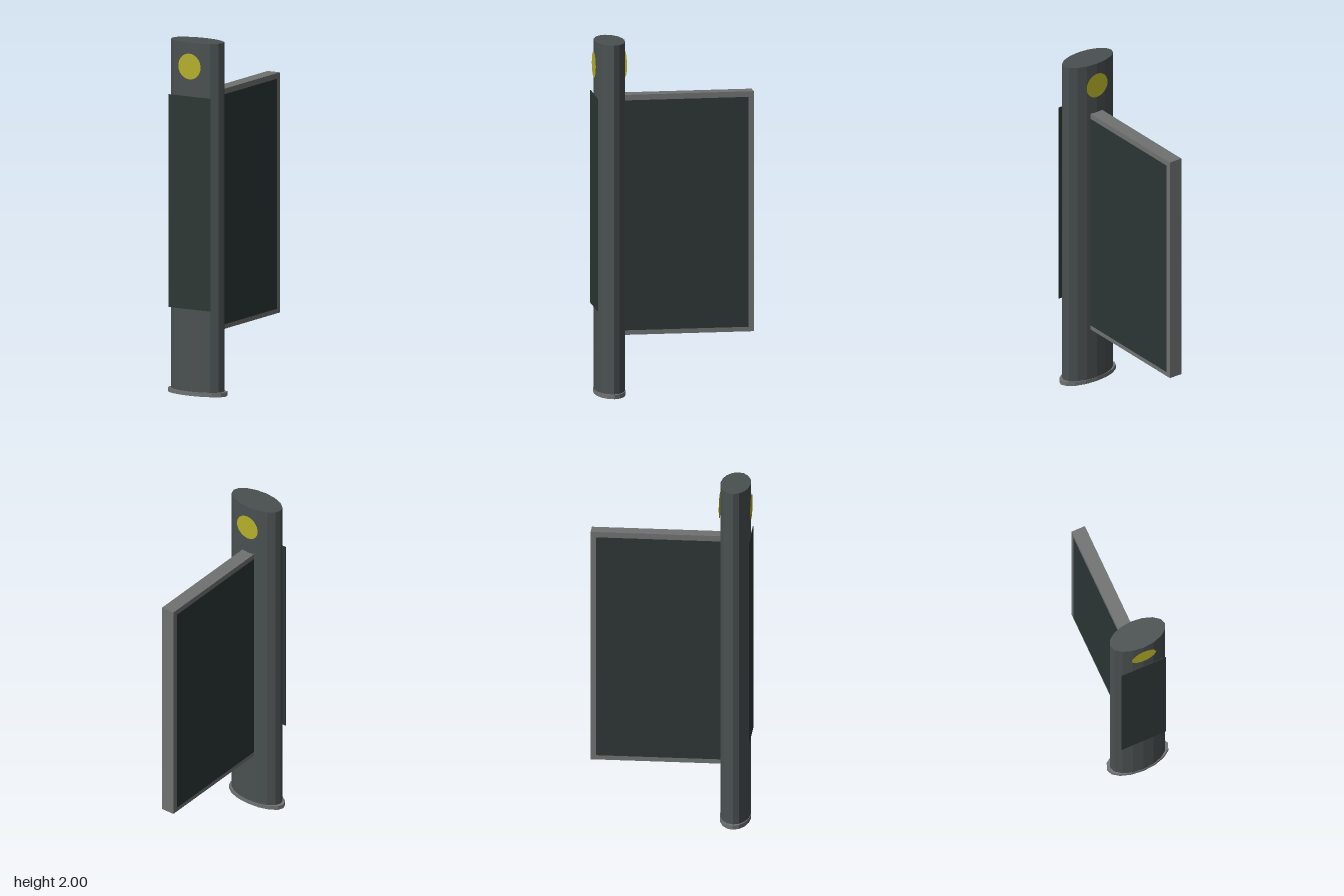
import * as THREE from 'three';

export function createModel() {
  const group = new THREE.Group();
  const mat = (color, extra = {}) => new THREE.MeshStandardMaterial({ color, ...extra });
  const columnMat = mat(0x4a5050, { flatShading: true });
  const frameMat = mat(0x707272);
  const screenMat = mat(0x2c3634, { side: THREE.DoubleSide });
  const badgeMat = mat(0xb5b02a, { side: THREE.DoubleSide });

  function add(name, geometry, material, x, y, z) {
    const mesh = new THREE.Mesh(geometry, material);
    mesh.name = name;
    mesh.position.set(x, y, z);
    group.add(mesh);
    return mesh;
  }

  // Sixteen-sided elliptical prism standing on y0
  const columnZ = 0.358;
  function ellipticPrism(name, rx, rz, y0, y1, material) {
    const geo = new THREE.CylinderGeometry(1, 1, y1 - y0, 16).scale(rx, 1, rz);
    return add(name, geo, material, 0, (y0 + y1) / 2, columnZ);
  }
  ellipticPrism('column', 0.167, 0.085, 0.02, 2, columnMat);
  ellipticPrism('basePlate', 0.187, 0.087, 0, 0.024, mat(0x707272, { flatShading: true }));

  // Flat display on the front of the column
  add('frontScreen', new THREE.BoxGeometry(0.272, 1.205, 0.003), screenMat, 0, 1.0925, 0.4435);

  // Wing panel running back from the column, with a screen on each face
  add('wingFrame', new THREE.BoxGeometry(0.08, 1.36, 0.75), frameMat, 0, 1.015, -0.075);
  for (const side of [-1, 1]) {
    const screen = add(side > 0 ? 'leftWingScreen' : 'rightWingScreen',
      new THREE.PlaneGeometry(0.72, 1.303), screenMat, side * 0.0412, 1.0125, -0.06);
    screen.rotation.y = side * Math.PI / 2;
  }

  // Round badges near the top, front and back
  add('frontBadge', new THREE.CircleGeometry(0.073, 32), badgeMat, 0, 1.865, 0.446);
  add('backBadge', new THREE.CircleGeometry(0.073, 32), badgeMat, 0, 1.865, 0.27).rotation.y = Math.PI;

  return group;
}
